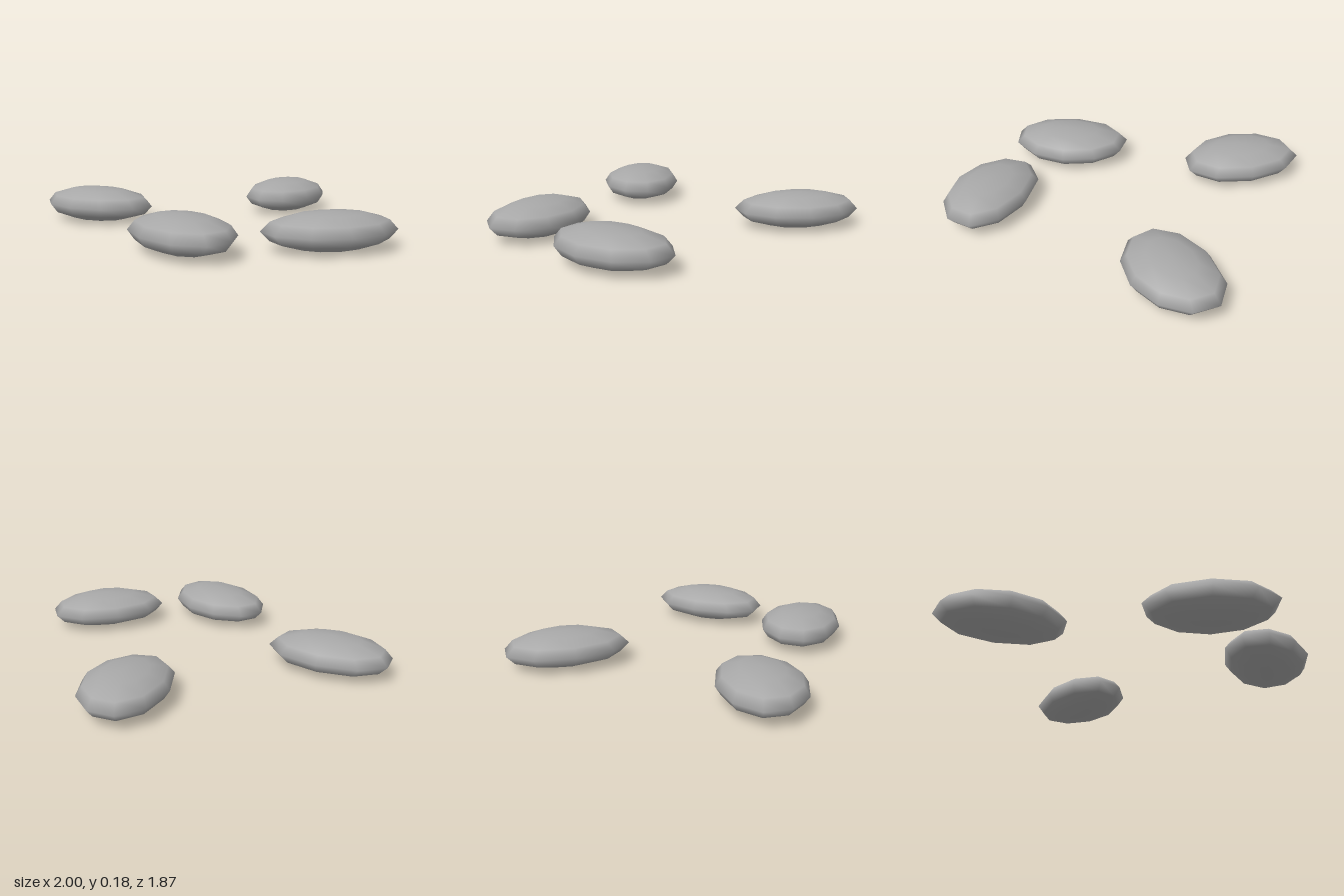
import * as THREE from 'three';
import { mergeVertices } from 'three/addons/utils/BufferGeometryUtils.js';

// Flattened pebble: long in x, flat in y, slightly wider towards -z
function pebbleGeometry() {
  let geo = new THREE.SphereGeometry(1, 10, 6);
  geo.rotateY(Math.PI / 10);
  geo.deleteAttribute('uv');
  geo.deleteAttribute('normal');
  geo = mergeVertices(geo, 1e-4);
  const p = geo.attributes.position;
  for (let i = 0; i < p.count; i++) {
    const z = p.getZ(i);
    p.setXYZ(i, p.getX(i) * 0.33 * (1 - 0.09 * z), p.getY(i) * 0.09, z * 0.22);
  }
  geo.computeVertexNormals();
  return geo;
}

export function createModel() {
  const model = new THREE.Group();
  model.name = 'steppingStones';
  const stone = new THREE.MeshStandardMaterial({ color: 0xa8a8a8 });
  stone.name = 'stoneGrey';
  const geo = pebbleGeometry();

  // Stones: name, x, z, turn in degrees
  const stones = [
    ['rightStone', -0.68, 0.265, 0],
    ['backStone', -0.005, -0.625, 104],
    ['frontStone', 0.22, 0.69, 156],
    ['leftStone', 0.743, 0.265, 52],
  ];
  for (const [name, x, z, turn] of stones) {
    const mesh = new THREE.Mesh(geo, stone);
    mesh.name = name;
    mesh.position.set(x, 0.091, z);
    mesh.rotation.y = THREE.MathUtils.degToRad(turn);
    model.add(mesh);
  }
  return model;
}
